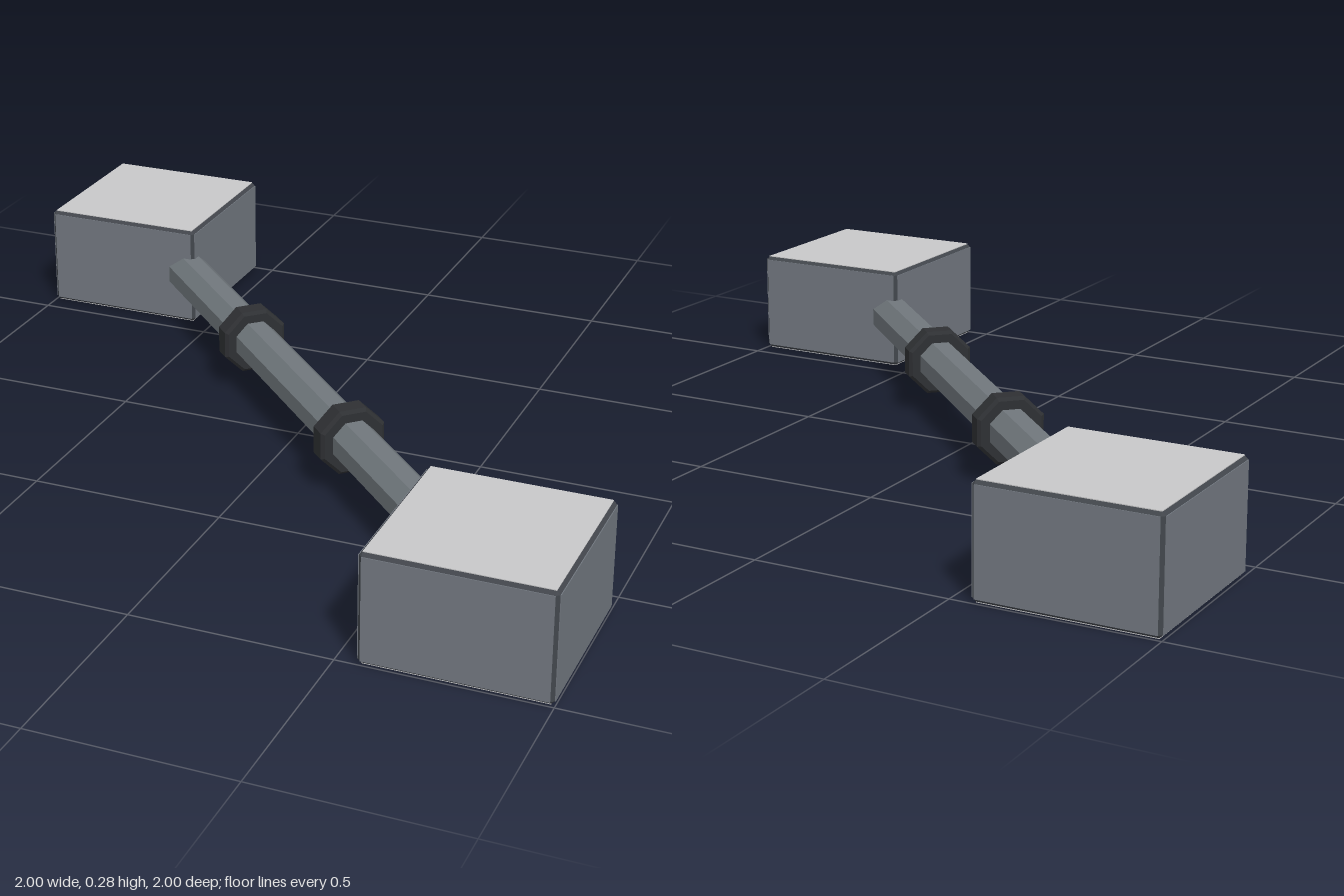
import * as THREE from 'three';
import { ConvexGeometry } from 'three/addons/geometries/ConvexGeometry.js';

const material = (name, color) => {
  const m = new THREE.MeshStandardMaterial({ color, flatShading: true });
  m.name = name;
  return m;
};

export function createModel() {
  const slate = material('slate', 0x727880);
  const lightGrey = material('light grey', 0xc8c8c9);
  const edgeGrey = material('dark edge grey', 0x42464c);
  const pipeGrey = material('pipe grey', 0x70777c);
  const black = material('collar black', 0x2e3033);

  const model = new THREE.Group();
  const W = 0.45, H = 0.278, BEVEL = 0.01, SKIN = 0.002;
  const mid = H / 2;

  const add = (parent, name, geometry, mat) => {
    const mesh = new THREE.Mesh(geometry, mat);
    mesh.name = name;
    parent.add(mesh);
    return mesh;
  };

  // Chamfered block: three corner points per corner, hulled
  const blockGeometry = (w, h, d, b) => {
    const points = [];
    for (const x of [-1, 1]) for (const y of [-1, 1]) for (const z of [-1, 1]) {
      for (let flat = 0; flat < 3; flat++) {
        points.push(new THREE.Vector3(
          x * (w / 2 - (flat === 0 ? 0 : b)),
          y * (h / 2 - (flat === 1 ? 0 : b)),
          z * (d / 2 - (flat === 2 ? 0 : b))));
      }
    }
    return new ConvexGeometry(points);
  };

  // End blocks: dark chamfered core with a thin panel on every face
  const core = blockGeometry(W - 2 * SKIN, H - 2 * SKIN, W - 2 * SKIN, BEVEL - SKIN);
  const inner = W - 2 * BEVEL, innerH = H - 2 * BEVEL;
  for (const s of [-1, 1]) {
    const block = new THREE.Group();
    block.name = s < 0 ? 'backBlock' : 'frontBlock';
    block.position.set(s * (1 - W / 2), mid, s * (1 - W / 2));
    add(block, 'blockEdges', core, edgeGrey);
    for (const t of [-1, 1]) {
      const off = t * (W / 2 - SKIN / 2);
      add(block, t > 0 ? 'topPanel' : 'bottomPanel',
        new THREE.BoxGeometry(inner, SKIN, inner), lightGrey).position.y = t * (H / 2 - SKIN / 2);
      add(block, 'sidePanel', new THREE.BoxGeometry(SKIN, innerH, inner), slate).position.x = off;
      add(block, 'sidePanel', new THREE.BoxGeometry(inner, innerH, SKIN), slate).position.z = off;
    }
    model.add(block);
  }

  // Diagonal connector, built along local z and turned to join the blocks
  const connector = new THREE.Group();
  connector.name = 'connector';
  connector.position.y = mid;
  connector.rotation.y = Math.PI / 4;
  model.add(connector);

  // Octagonal profile with a flat on top; r is the distance to a flat
  const octagon = (profile) => new THREE.LatheGeometry(
    profile.map(([r, y]) => new THREE.Vector2(r / Math.cos(Math.PI / 8), y)), 8, Math.PI / 8
  ).rotateX(Math.PI / 2);

  add(connector, 'pipe', octagon([[0, -0.9], [0.055, -0.9], [0.055, 0.9], [0, 0.9]]), pipeGrey);

  // Chamfered collars
  const collar = octagon([[0.05, -0.03], [0.077, -0.03], [0.085, -0.022],
    [0.085, 0.022], [0.077, 0.03], [0.05, 0.03]]);
  for (const s of [-1, 1]) {
    add(connector, 'collar', collar, black).position.z = s * 0.232 * Math.SQRT2;
  }

  return model;
}
